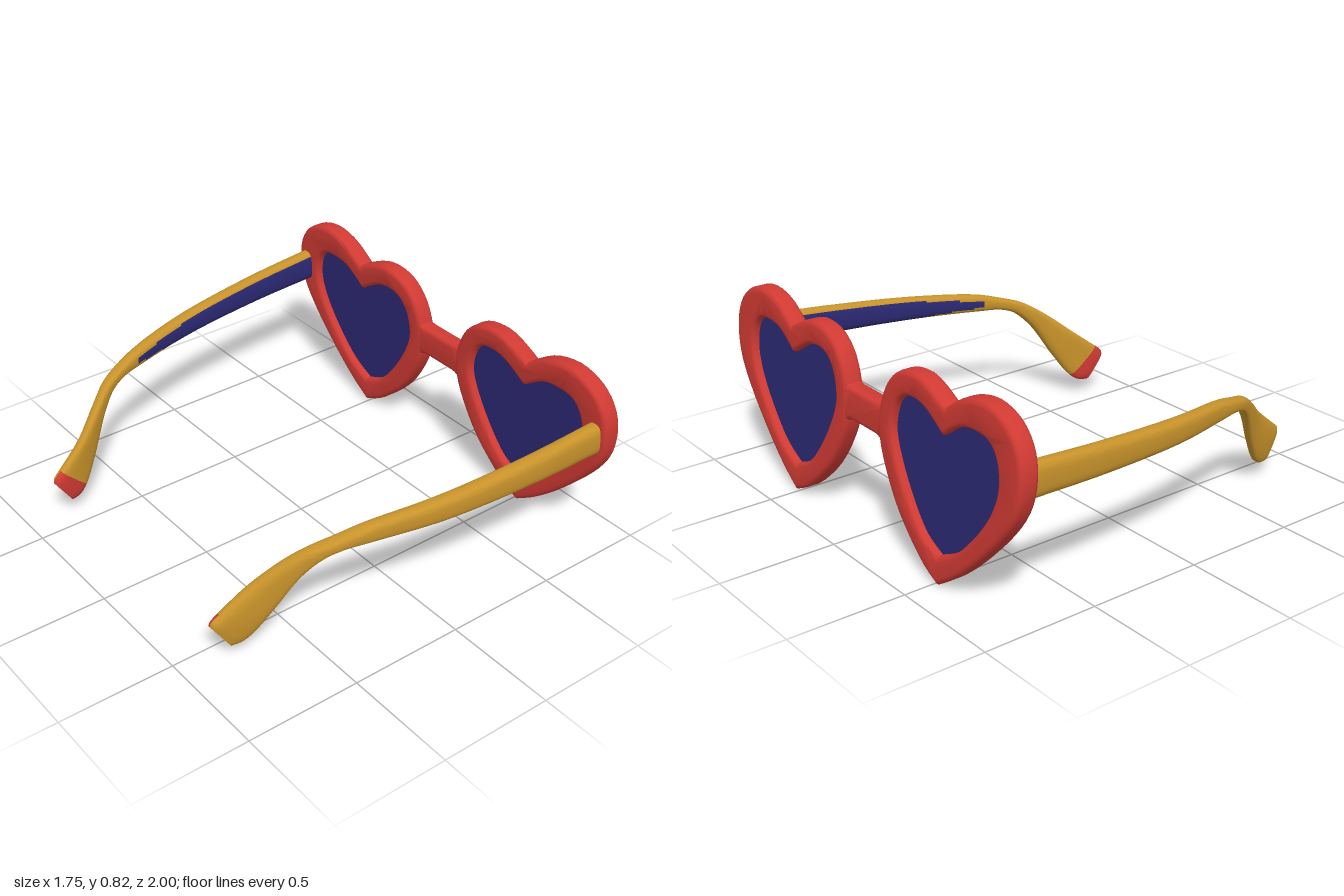
import * as THREE from 'three';
import { toCreasedNormals } from 'three/addons/utils/BufferGeometryUtils.js';

const mat = (name, color) => {
  const m = new THREE.MeshStandardMaterial({ color });
  m.name = name;
  return m;
};

// Heart outlines as [z, y]; each side runs from the tip to the notch
const OUTER = {
  far: [[0.517, 0.005], [0.62, 0.075], [0.74, 0.18], [0.89, 0.34], [0.975, 0.47], [1.0, 0.6], [0.975, 0.71], [0.9, 0.79], [0.78, 0.826], [0.65, 0.8], [0.54, 0.73]],
  near: [[0.517, 0.005], [0.405, 0.065], [0.25, 0.21], [0.145, 0.38], [0.11, 0.5], [0.117, 0.6], [0.165, 0.71], [0.25, 0.78], [0.36, 0.798], [0.45, 0.775], [0.54, 0.73]],
};
const INNER = {
  far: [[0.515, 0.125], [0.64, 0.195], [0.78, 0.35], [0.855, 0.49], [0.86, 0.6], [0.82, 0.675], [0.75, 0.698], [0.64, 0.685], [0.53, 0.615]],
  near: [[0.515, 0.125], [0.4, 0.185], [0.28, 0.34], [0.205, 0.5], [0.215, 0.61], [0.26, 0.675], [0.33, 0.697], [0.42, 0.68], [0.53, 0.615]],
};

// Counter-clockwise on both sides, so holes always face the right way
function heart(outline, sign) {
  const side = pts => new THREE.SplineCurve(pts.map(([z, y]) => new THREE.Vector2(sign * z, y))).getPoints(36);
  const loop = [...side(outline.far), ...side(outline.near).reverse().slice(1, -1)];
  return sign > 0 ? loop : loop.reverse();
}

// Extrude a front shape along x and lean it back to match the frame's tilt
function frontPlate(shape, thickness, bevel) {
  const g = new THREE.ExtrudeGeometry(shape, {
    depth: thickness - 2 * bevel, bevelEnabled: bevel > 0, bevelThickness: bevel,
    bevelSize: bevel, bevelOffset: -bevel, bevelSegments: 4, curveSegments: 12,
  });
  g.translate(0, 0, -(thickness - 2 * bevel) / 2);
  g.rotateY(Math.PI / 2);
  const p = g.attributes.position;
  for (let i = 0; i < p.count; i++) p.setX(i, p.getX(i) + 0.83 - 0.055 * p.getY(i));
  return toCreasedNormals(g, 0.7);
}

// Arm stations: top x, y, z, bottom x, y, z, width
const ARM = [
  [0.79, 0.646, 0.941, 0.79, 0.505, 0.941, 0.072],
  [0.4, 0.615, 0.925, 0.4, 0.492, 0.925, 0.072],
  [0, 0.58, 0.878, 0, 0.478, 0.878, 0.072],
  [-0.3, 0.546, 0.803, -0.3, 0.468, 0.803, 0.066],
  [-0.42, 0.514, 0.765, -0.405, 0.462, 0.772, 0.064],
  [-0.51, 0.484, 0.728, -0.475, 0.436, 0.745, 0.062],
  [-0.6, 0.425, 0.676, -0.547, 0.364, 0.706, 0.062],
  [-0.72, 0.326, 0.616, -0.635, 0.215, 0.655, 0.06],
  [-0.838, 0.235, 0.589, -0.71, 0.105, 0.617, 0.056],
  [-0.872, 0.207, 0.583, -0.752, 0.074, 0.603, 0.05],
  [-0.877, 0.19, 0.581, -0.795, 0.068, 0.594, 0.04],
];

// Closed sweep with colour groups: 0 gold, 1 inner panel, 2 tip
function armGeometry(sign) {
  const curve = k => new THREE.CatmullRomCurve3(
    ARM.map(a => new THREE.Vector3(a[k], a[k + 1], a[k + 2])), false, 'centripetal');
  const top = curve(0), bottom = curve(3), P = new THREE.Vector3();
  const rows = 80, n = 28, pos = [], lists = [[], [], []];
  const round = v => Math.sign(v) * Math.abs(v) ** 0.65;
  for (let i = 0; i <= rows; i++) {
    const t = i / rows, T = top.getPoint(t), B = bottom.getPoint(t);
    const f = t * (ARM.length - 1), k = Math.min(Math.floor(f), ARM.length - 2);
    const width = THREE.MathUtils.lerp(ARM[k][6], ARM[k + 1][6], f - k);
    for (let j = 0; j < n; j++) {
      const a = (j / n) * Math.PI * 2;
      P.lerpVectors(B, T, (1 + round(Math.cos(a))) / 2);
      pos.push(P.x, P.y, sign * (P.z + round(Math.sin(a)) * width / 2));
    }
  }
  const tri = (list, a, b, c) => (sign > 0 ? list.push(a, c, b) : list.push(a, b, c));
  for (let i = 0; i < rows; i++) {
    const x = (pos[i * n * 3] + pos[(i + 1) * n * 3]) / 2;
    const taper = THREE.MathUtils.clamp((x + 0.32) / 0.3, 0, 1);
    for (let j = 0; j < n; j++) {
      const m = ((j + 0.5) / n) * Math.PI * 2, inward = -Math.sin(m), up = Math.cos(m);
      let id = 0;
      if (i > rows * 0.79 && inward > 0.1) id = 2;
      else if (x > -0.32 && inward > 0 && up < 0.1 + 0.5 * taper && up > -0.2 - 0.65 * taper) id = 1;
      const a = i * n + j, b = i * n + (j + 1) % n, c = a + n, d = b + n;
      tri(lists[id], a, b, c);
      tri(lists[id], b, d, c);
    }
  }
  // End caps; the tip's cap is red on its inner half
  const last = rows * n;
  for (let j = 1; j < n - 1; j++) {
    tri(lists[0], 0, j + 1, j);
    tri(lists[j < n / 2 ? 0 : 2], last, last + j, last + j + 1);
  }
  const g = new THREE.BufferGeometry();
  g.setAttribute('position', new THREE.Float32BufferAttribute(pos, 3));
  g.setIndex(lists.flat());
  let start = 0;
  lists.forEach((list, id) => {
    g.addGroup(start, list.length, id);
    start += list.length;
  });
  return toCreasedNormals(g, 0.8);
}

export function createModel() {
  const red = mat('frame red', 0xd03a33);
  const gold = mat('arm gold', 0xc8932b);
  const blue = mat('lens blue', 0x2b2973);
  const model = new THREE.Group();
  model.name = 'heartSunglasses';
  const add = (name, geometry, material) => {
    const mesh = new THREE.Mesh(geometry, material);
    mesh.name = name;
    model.add(mesh);
  };

  for (const sign of [1, -1]) {
    // The extrusion's x becomes -z
    const side = sign > 0 ? 'Front' : 'Back';
    const rim = new THREE.Shape(heart(OUTER, -sign));
    rim.holes.push(new THREE.Path(heart(INNER, -sign)));
    add('rim' + side, frontPlate(rim, 0.086, 0.022), red);

    // Lens overlaps the rim slightly so no gap shows
    const lens = new THREE.Shape(heart(INNER, -sign).map(p =>
      new THREE.Vector2((p.x + sign * 0.53) * 1.06 - sign * 0.53, (p.y - 0.45) * 1.06 + 0.45)));
    add('lens' + side, frontPlate(lens, 0.02, 0), blue);

    add('arm' + side, armGeometry(sign), [gold, blue, red]);
  }

  // Bridge flares where it meets the rims
  const bridge = new THREE.Shape();
  bridge.moveTo(-0.17, 0.41);
  bridge.quadraticCurveTo(-0.12, 0.465, -0.08, 0.465);
  bridge.lineTo(0.08, 0.465);
  bridge.quadraticCurveTo(0.12, 0.465, 0.17, 0.41);
  bridge.lineTo(0.17, 0.635);
  bridge.quadraticCurveTo(0.13, 0.602, 0.09, 0.602);
  bridge.lineTo(-0.09, 0.602);
  bridge.quadraticCurveTo(-0.13, 0.602, -0.17, 0.635);
  bridge.closePath();
  add('bridge', frontPlate(bridge, 0.08, 0.022), red);

  return model;
}
